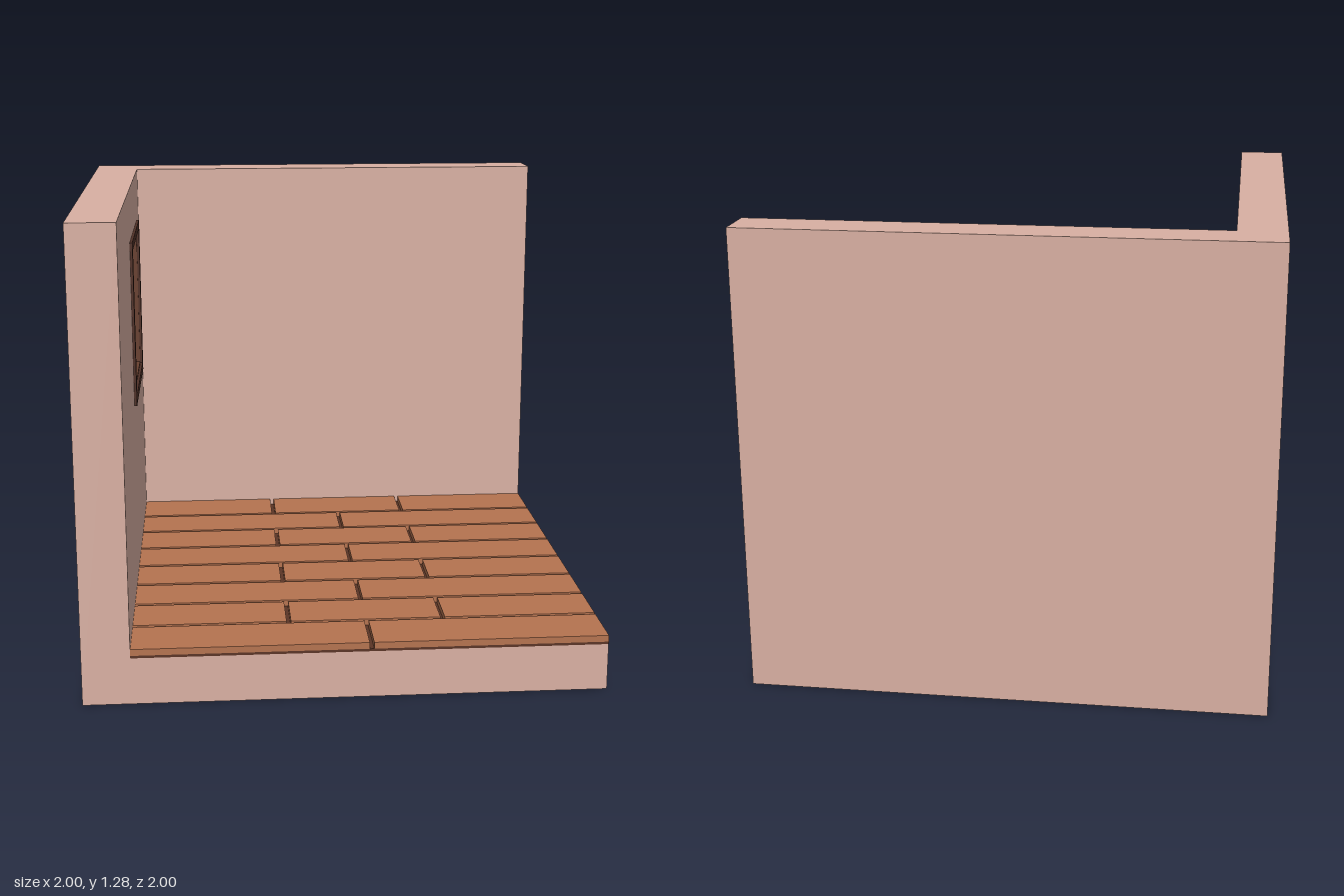
import * as THREE from 'three';

const SIDE = Math.SQRT2, WALL = 0.13, HEIGHT = 1.285;
const mat = (color, extra = {}) => new THREE.MeshStandardMaterial({ color, ...extra });

export function createModel() {
  const model = new THREE.Group();
  model.name = 'roomCorner';
  // Room axes: x and z run along the two walls, starting at the back corner
  const room = new THREE.Group();
  room.name = 'room';
  room.rotation.y = -Math.PI / 4;
  room.position.z = -1;
  model.add(room);

  const plaster = mat(0xd9b0a3), plank = mat(0xb57350), darkWood = mat(0x4f3027);
  const redWood = mat(0x68402f), gapColor = mat(0x5a3526);
  const cloth = mat(0x9c7339, { side: THREE.DoubleSide });
  const metal = mat(0x2a1d18);

  const add = (parent, name, geometry, material) => {
    const mesh = new THREE.Mesh(geometry, material);
    mesh.name = name;
    parent.add(mesh);
    return mesh;
  };
  const box = (parent, name, material, x0, x1, y0, y1, z0, z1) =>
    add(parent, name, new THREE.BoxGeometry(x1 - x0, y1 - y0, z1 - z0), material)
      .position.set((x0 + x1) / 2, (y0 + y1) / 2, (z0 + z1) / 2);

  // Outline in the (z, y) plane, given thickness from x0 to x1
  const outline = (pts) => pts.map(([z, y]) => new THREE.Vector2(z, y));
  const rect = ([z0, z1, y0, y1]) => outline([[z0, y0], [z1, y0], [z1, y1], [z0, y1]]);
  const panel = (parent, name, material, points, holes, x0, x1) => {
    const shape = new THREE.Shape(points);
    for (const h of holes) shape.holes.push(new THREE.Path(rect(h).reverse()));
    const geo = new THREE.ExtrudeGeometry(shape, { depth: x1 - x0, bevelEnabled: false });
    geo.rotateY(-Math.PI / 2);
    geo.translate(x1, 0, 0);
    return add(parent, name, geo, material);
  };

  // Wall with the window opening, then plain wall and floor as one L profile
  const opening = [0.29, 0.758, 0.67, 1.125];
  panel(room, 'windowWall', plaster, rect([0, SIDE, 0, HEIGHT]), [opening], 0, WALL);
  panel(room, 'plainWallAndFloor', plaster, outline([[0, 0], [SIDE, 0], [SIDE, WALL],
    [WALL, WALL], [WALL, HEIGHT], [0, HEIGHT]]), [], WALL, SIDE);

  // Floorboards: eight rows with staggered joints over a dark underlay
  const floor = new THREE.Group();
  floor.name = 'floorboards';
  room.add(floor);
  box(floor, 'underlay', gapColor, WALL, SIDE, WALL, 0.137, WALL, SIDE);
  const span = SIDE - WALL, row = span / 8, gap = 0.006;
  for (let i = 0; i < 8; i++) {
    const cuts = i % 2 ? [0, 1 / 2, 1] : [0, 1 / 3, 2 / 3, 1];
    for (let j = 0; j + 1 < cuts.length; j++) {
      const x0 = WALL + span * cuts[j] + (j ? gap : 0);
      const x1 = WALL + span * cuts[j + 1] - (cuts[j + 1] < 1 ? gap : 0);
      const z0 = WALL + row * i + (i ? gap : 0);
      const z1 = WALL + row * (i + 1) - (i < 7 ? gap : 0);
      box(floor, 'plank', plank, x0, x1, 0.137, 0.155, z0, z1);
    }
  }

  // Window: trim on both faces, lining through the wall, two sashes
  const win = new THREE.Group();
  win.name = 'window';
  room.add(win);
  const trimOuter = rect([0.275, 0.773, 0.655, 1.14]);
  const inner = [0.31, 0.738, 0.687, 1.11];
  panel(win, 'outerTrim', darkWood, trimOuter, [[0.305, 0.743, 0.682, 1.115]], -0.008, 0);
  panel(win, 'innerTrim', darkWood, trimOuter, [[0.305, 0.743, 0.682, 1.115]], WALL, 0.138);
  panel(win, 'lining', redWood, rect(opening), [inner], 0, WALL);
  const mid = 0.524;
  panel(win, 'rightSash', darkWood, rect([0.31, mid - 0.003, 0.687, 1.11]),
    [[0.338, 0.488, 0.725, 1.095]], 0.02, 0.065);
  panel(win, 'leftSash', darkWood, rect([mid + 0.003, 0.738, 0.687, 1.11]),
    [[0.56, 0.71, 0.725, 1.095]], 0.02, 0.065);
  box(win, 'meetingStile', redWood, 0.025, 0.06, 0.687, 1.11, mid - 0.01, mid + 0.01);

  // Short curtain weaving around its rod
  const curtainX = 0.1, curtainY = 1.06;
  const rod = add(win, 'curtainRod', new THREE.CylinderGeometry(0.006, 0.006, 0.428, 12), metal);
  rod.rotation.x = Math.PI / 2;
  rod.position.set(curtainX, curtainY, mid);
  const drape = new THREE.PlaneGeometry(0.4, 0.155, 96, 6);
  drape.rotateY(Math.PI / 2);
  const p = drape.attributes.position;
  for (let i = 0; i < p.count; i++) {
    p.setX(i, 0.012 * Math.sin((p.getZ(i) / 0.074) * Math.PI * 2));
  }
  drape.computeVertexNormals();
  add(win, 'curtain', drape, cloth).position.set(curtainX, 1.0025, 0.53);

  return model;
}
